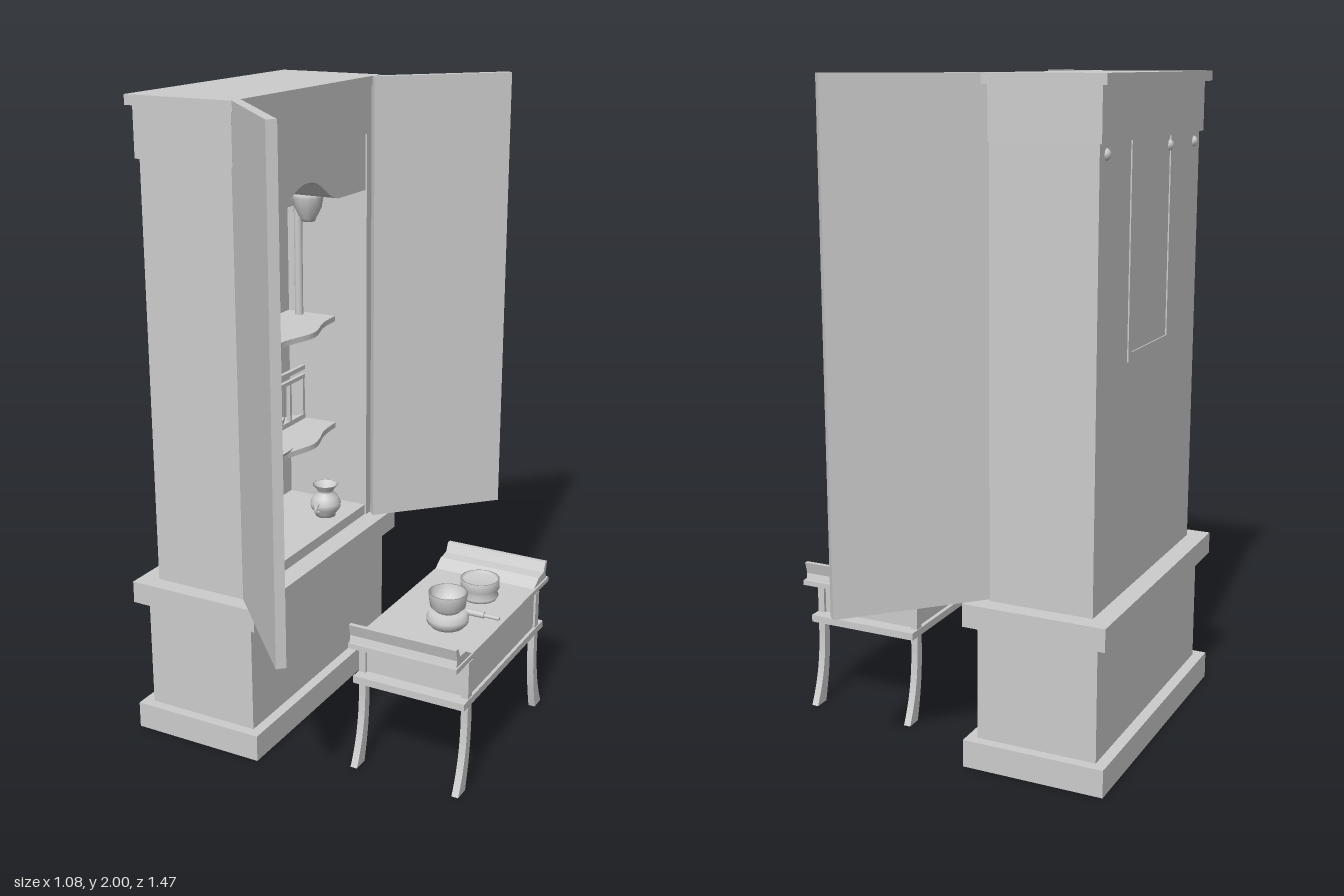
import * as THREE from 'three';

export function createModel() {
  const root = new THREE.Group();
  const grey = new THREE.MeshStandardMaterial({ color: 0xcccccc, side: THREE.DoubleSide });
  grey.name = 'plain grey';

  const add = (name, geo, x = 0, y = 0, z = 0, parent = root) => {
    const m = new THREE.Mesh(geo, grey);
    m.name = name;
    m.position.set(x, y, z);
    parent.add(m);
    return m;
  };
  // Box given by its limits on each axis
  const box = (name, x0, x1, y0, y1, z0, z1, parent) =>
    add(name, new THREE.BoxGeometry(x1 - x0, y1 - y0, z1 - z0),
      (x0 + x1) / 2, (y0 + y1) / 2, (z0 + z1) / 2, parent);
  const extrude = (shape, depth) =>
    new THREE.ExtrudeGeometry(shape, { depth, bevelEnabled: false, curveSegments: 16 });
  // Outline in (z, y), extruded along x from x0 to x1
  const extrudeX = (name, shape, x0, x1) => {
    const m = add(name, extrude(shape, x1 - x0), x1, 0, 0);
    m.rotation.y = -Math.PI / 2;
    return m;
  };
  const lathe = (name, pts, x, y, z, sides = 24) =>
    add(name, new THREE.LatheGeometry(pts.map(p => new THREE.Vector2(...p)), sides), x, y, z);

  // Pedestal
  box('plinth', -0.54, -0.097, 0, 0.085, -0.475, 0.455);
  box('pedestal', -0.505, -0.13, 0.085, 0.44, -0.443, 0.422);
  box('pedestalLedge', -0.54, -0.097, 0.44, 0.51, -0.475, 0.455);

  // Cabinet shell
  box('cabinetFloor', -0.47, -0.165, 0.51, 0.545, -0.385, 0.365);
  box('backWall', -0.48, -0.46, 0.51, 1.82, -0.42, 0.4);
  box('sideWallLeft', -0.48, -0.16, 0.51, 1.82, 0.362, 0.4);
  box('sideWallRight', -0.48, -0.16, 0.51, 1.82, -0.42, -0.378);
  box('crown', -0.49, -0.16, 1.82, 1.97, -0.43, 0.41);
  box('topSlab', -0.51, -0.15, 1.97, 2, -0.45, 0.42);

  // Arched canopy
  const arch = new THREE.Shape();
  arch.moveTo(-0.378, 1.82);
  arch.lineTo(-0.378, 1.64);
  arch.lineTo(-0.2, 1.64);
  arch.bezierCurveTo(-0.12, 1.65, -0.1, 1.715, -0.008, 1.715);
  arch.bezierCurveTo(0.085, 1.715, 0.105, 1.65, 0.184, 1.64);
  arch.lineTo(0.362, 1.64);
  arch.lineTo(0.362, 1.82);
  extrudeX('archedCanopy', arch, -0.46, -0.165);

  // Open doors, swung outward
  const door = (name, x0, z0, x1, z1) => {
    const length = Math.hypot(x1 - x0, z1 - z0);
    const m = add(name, new THREE.BoxGeometry(length, 1.49, 0.03),
      (x0 + x1) / 2, 1.255, (z0 + z1) / 2);
    m.rotation.y = -Math.atan2(z1 - z0, x1 - x0);
  };
  door('doorRight', -0.146, -0.393, 0.18, -0.731);
  door('doorLeft', -0.163, 0.385, 0.158, 0.72);

  // Wavy shelves
  const front = new THREE.SplineCurve([[-0.28, -0.362], [-0.27, -0.27], [-0.235, -0.14],
    [-0.265, 0.008], [-0.235, 0.155], [-0.27, 0.28], [-0.28, 0.378]]
    .map(p => new THREE.Vector2(...p))).getPoints(36);
  const shelfShape = new THREE.Shape([new THREE.Vector2(-0.46, -0.362), ...front,
    new THREE.Vector2(-0.46, 0.378)]);
  for (const [name, y] of [['upperShelf', 1.188], ['lowerShelf', 0.81]])
    add(name, extrude(shelfShape, 0.018), 0, y, 0).rotation.x = -Math.PI / 2;

  // Curved niche behind the shelves
  const niche = add('nicheBack', new THREE.CylinderGeometry(0.165, 0.165, 1.12, 24, 1, true, Math.PI, Math.PI),
    -0.41, 1.1, -0.008);
  niche.scale.x = 0.28;

  // Columns, dividers and lattice
  for (const z of [0.322, 0.152, -0.168, -0.345])
    add('column', new THREE.CylinderGeometry(0.014, 0.014, 0.46, 16), -0.4, 1.43, z);
  for (const s of [1, -1]) {
    const zi = -0.008 + s * 0.17, zo = -0.008 + s * 0.365;
    const span = (name, a, b, y0, y1, x = -0.41) =>
      box(name, x, x + 0.014, y0, y1, Math.min(a, b), Math.max(a, b));
    span('upperRail', zi, zo, 1.58, 1.605);
    span('divider', zi - 0.008, zi + 0.008, 0.828, 1.188);
    span('lowerDivider', zi - 0.008, zi + 0.008, 0.545, 0.81);
    span('middleRail', zi, zo, 1.005, 1.02);
    span('screenTopRail', zi, zo, 0.975, 0.988);
    span('screenBottomRail', zi, zo, 0.828, 0.845);
    for (const t of [0.08, 0.5, 0.95]) {
      const z = zi + (zo - zi) * t;
      span('screenPost', z - 0.006, z + 0.006, 0.828, 0.988);
    }
  }

  // Memorial tablet
  box('tabletFoot', -0.41, -0.31, 1.206, 1.236, -0.06, 0.075);
  box('tabletStep', -0.4, -0.325, 1.236, 1.246, -0.045, 0.06);
  box('tablet', -0.375, -0.35, 1.246, 1.52, -0.042, 0.057);

  // Hanging lamps and vases
  for (const s of [1, -1]) {
    lathe('hangingLamp', [[0, -0.09], [0.022, -0.09], [0.026, -0.08], [0.044, -0.045], [0.05, -0.012],
      [0.05, 0], [0, 0]], -0.3, 1.64, 0.022 + s * 0.262, 12);
    const vz = 0.003 + s * 0.238;
    lathe('vase', [[0, 0], [0.034, 0], [0.034, 0.008], [0.05, 0.03], [0.052, 0.048], [0.042, 0.07],
      [0.027, 0.083], [0.027, 0.093], [0.044, 0.112], [0.038, 0.112], [0.02, 0.092], [0, 0.085]],
      -0.24, 0.545, vz);
    add('vaseHandle', new THREE.TorusGeometry(0.014, 0.005, 8, 16), -0.24, 0.583, vz - s * 0.055)
      .rotation.y = Math.PI / 2;
  }

  // Offering tray with cup and goblet
  add('tray', new THREE.CylinderGeometry(0.137, 0.125, 0.012, 32), -0.32, 0.844, 0.018).scale.x = 0.6;
  lathe('riceCup', [[0, 0], [0.03, 0], [0.038, 0.012], [0.048, 0.07], [0.044, 0.07], [0.036, 0.016], [0, 0.014]],
    -0.32, 0.85, 0.08);
  lathe('goblet', [[0, 0], [0.024, 0], [0.022, 0.005], [0.006, 0.012], [0.006, 0.05], [0.03, 0.06],
    [0.038, 0.085], [0.034, 0.085], [0.026, 0.064], [0, 0.058]], -0.32, 0.85, -0.037);

  // Details showing on the outer back
  for (const [y0, y1, z0, z1] of [[1.2, 1.82, -0.19, -0.165], [1.2, 1.82, 0.13, 0.155],
    [1.2, 1.225, -0.19, 0.155]])
    box('backFrame', -0.484, -0.48, y0, y1, z0, z1);
  for (const z of [-0.37, 0.13, 0.35])
    add('backKnob', new THREE.SphereGeometry(0.018, 12, 8), -0.474, 1.79, z);

  // Table top, apron and rail
  const tz = 0.017;
  box('tableTop', 0.18, 0.532, 0.422, 0.438, tz - 0.36, tz + 0.36);
  box('tableApron', 0.183, 0.527, 0.3, 0.422, tz - 0.265, tz + 0.265);
  box('tableRail', 0.17, 0.537, 0.28, 0.303, tz - 0.31, tz + 0.31);

  // Raised table ends and curved legs, mirrored in z
  for (const s of [1, -1]) {
    const end = new THREE.Shape([[0.355, 0.495], [0.34, 0.495], [0.325, 0.465], [0.285, 0.462], [0.245, 0.438],
      [0.35, 0.438], [0.345, 0.458]].map(([z, y]) => new THREE.Vector2(tz + s * z, y)));
    extrudeX('tableEnd', end, 0.18, 0.527);

    const P = z => tz + s * z;
    const leg = new THREE.Shape();
    leg.moveTo(P(0.248), 0.422);
    leg.lineTo(P(0.276), 0.422);
    leg.lineTo(P(0.276), 0.22);
    leg.bezierCurveTo(P(0.28), 0.12, P(0.3), 0.06, P(0.33), 0);
    leg.lineTo(P(0.28), 0);
    leg.bezierCurveTo(P(0.265), 0.06, P(0.25), 0.12, P(0.248), 0.22);
    for (const x of [0.172, 0.512]) extrudeX('tableLeg', leg, x, x + 0.022);
  }

  // Bell bowl on its cushion, incense burner and striker
  lathe('bellCushion', [[0, 0], [0.05, 0], [0.063, 0.014], [0.065, 0.03], [0.055, 0.05], [0, 0.05]],
    0.395, 0.445, 0.143);
  lathe('bellBowl', [[0, 0], [0.035, 0], [0.054, 0.018], [0.06, 0.062], [0.054, 0.062], [0.048, 0.022], [0, 0.01]],
    0.395, 0.493, 0.143);
  lathe('incenseBurner', [[0, 0], [0.055, 0], [0.06, 0.01], [0.052, 0.026], [0.062, 0.036], [0.062, 0.065],
    [0.056, 0.065], [0.056, 0.055], [0, 0.055]], 0.395, 0.438, -0.098);
  const striker = add('strikerHead', new THREE.CylinderGeometry(0.01, 0.01, 0.115, 12), 0.412, 0.449, 0.038);
  const grip = add('strikerGrip', new THREE.CylinderGeometry(0.006, 0.006, 0.05, 12), 0.495, 0.449, 0.038);
  striker.rotation.z = grip.rotation.z = Math.PI / 2;

  return root;
}
